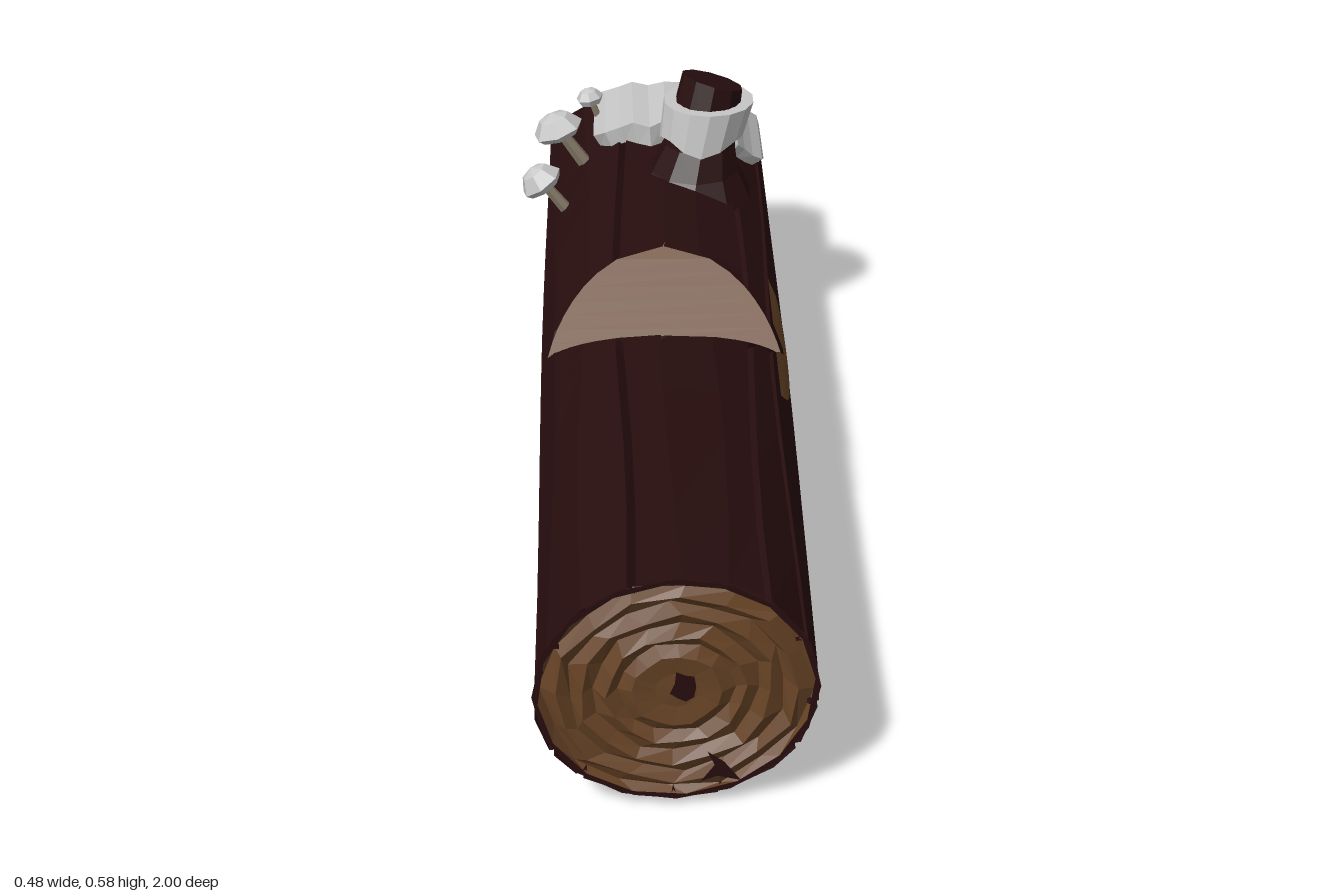
import * as THREE from 'three';

const mat = (name, color) =>
  new THREE.MeshStandardMaterial({ name, color, side: THREE.DoubleSide });

// Faceted surface through rows of [x, y, z] points
function loft(rows) {
  const pos = [];
  for (let i = 0; i < rows.length - 1; i++) {
    for (let j = 0; j < rows[i].length - 1; j++) {
      const a = rows[i][j], b = rows[i + 1][j], c = rows[i + 1][j + 1], d = rows[i][j + 1];
      pos.push(...a, ...b, ...c, ...a, ...c, ...d);
    }
  }
  const g = new THREE.BufferGeometry();
  g.setAttribute('position', new THREE.Float32BufferAttribute(pos, 3));
  g.computeVertexNormals();
  return g;
}

// Faceted copy with every vertex moved by a rule
function warp(geo, rule) {
  const g = geo.index ? geo.toNonIndexed() : geo;
  const p = g.attributes.position;
  for (let i = 0; i < p.count; i++) p.setXYZ(i, ...rule(p.getX(i), p.getY(i), p.getZ(i)));
  g.computeVertexNormals();
  return g;
}
const lathe = (pts, sides, rule) =>
  warp(new THREE.LatheGeometry(pts.map(p => new THREE.Vector2(...p)), sides), rule);

// Log cross-section, slightly thicker toward the back
function section(z) {
  const t = (1 - z) / 1.8;
  return { cx: 0.01 + 0.005 * t, rx: 0.208 + 0.014 * t, cy: 0.208 - 0.007 * t, ry: 0.194 + 0.008 * t };
}
const notchY = z => 0.27 + 0.82 * Math.abs(z - 0.12);
const frontZ = x => 1 - 0.02 * (x + 0.2) / 0.42;
const backZ = (x, y) =>
  -0.95 + 0.04 * (x + 0.21) / 0.45 + (y > 0.2 ? 1.05 : 0.75) * Math.abs(y - 0.2);

// Angles round the bark; some sectors carry a groove
const SECTORS = 18, around = [];
for (let k = 0; k <= SECTORS; k++) {
  const a = Math.PI / 2 - k / SECTORS * Math.PI * 2, id = k % SECTORS;
  if (id && id % 3 !== 1) around.push([a + 0.035, 0, id], [a, 0.05 + 0.03 * (id % 2), id], [a - 0.03, 0, id]);
  else around.push([a, 0, id]);
}
function barkRing(z, cut, place) {
  const { cx, rx, cy, ry } = section(z);
  const h = notchY(z);
  const c = Math.asin(Math.min(1, (h - cy) / ry));
  return around.map(([base, depth, id]) => {
    let a = base + 0.05 * Math.sin(id * 2.3 + z * 4);
    let f = 1 - depth + 0.012 * Math.sin(id * 5.1 + z * 3);
    const clipped = cut && (a > c || a < -Math.PI - c);
    if (clipped) { a = a > c ? c : -Math.PI - c; f = 1; }
    const x = cx + rx * f * Math.cos(a);
    const y = clipped ? Math.min(h, cy + ry) : Math.max(0, cy + ry * f * Math.sin(a));
    return [x, y, place ? place(x, y) : z];
  });
}

// Irregular thin patch laid on a surface z = place(x, y)
function blob(cx, cy, rx, ry, place) {
  const edge = [], mid = [];
  for (let i = 0; i <= 9; i++) {
    const a = i / 9 * Math.PI * 2, f = 0.85 + 0.2 * Math.sin((i % 9) * 2.7);
    const x = cx + rx * f * Math.cos(a), y = cy + ry * f * Math.sin(a);
    edge.push([x, y, place(x, y)]);
    mid.push([cx, cy, place(cx, cy)]);
  }
  return loft([edge, mid]);
}

export function createModel() {
  const model = new THREE.Group();
  model.name = 'fallenLog';
  const bark = mat('bark', 0x270d0e), wood = mat('wood', 0x684426);
  const snow = mat('snow', 0xc6c6c6), stemMat = mat('mushroomStem', 0x857a68);
  const add = (name, geo, m, parent = model) => {
    const mesh = new THREE.Mesh(geo, m);
    mesh.name = name;
    parent.add(mesh);
    return mesh;
  };

  // Bark, with the V notch cut from its top and a wedge-shaped back end
  const notchZ = Array.from({ length: 17 }, (_, i) => 0.284 - i * 0.0205);
  const rows = [barkRing(1, false, frontZ)];
  for (const z of [0.8, 0.6, 0.45, 0.3]) rows.push(barkRing(z));
  for (const z of notchZ) rows.push(barkRing(z, true));
  for (const z of [-0.06, -0.2, -0.35, -0.5, -0.62, -0.69]) rows.push(barkRing(z));
  const end = barkRing(-0.8, false, backZ);
  rows.push(end);
  add('barkTrunk', loft(rows), bark);

  // Cut faces of the notch and of the back wedge
  add('notchFaces', loft(notchZ.map(z => {
    const { cx, rx, cy, ry } = section(z), s = Math.min(1, (notchY(z) - cy) / ry);
    const w = rx * Math.sqrt(1 - s * s), y = Math.min(notchY(z), cy + ry);
    return [[cx - w, y, z], [cx + w, y, z]];
  })), wood);
  add('backWedge', loft([end, end.map(([x]) => [x, 0.2, backZ(x, 0.2)])]), wood);

  // Bare wood strip on the left flank, under the notch
  const strip = [];
  for (let i = 0; i <= 20; i++) {
    const z = 0.32 - i * 0.021, u = (z - 0.11) / 0.21;
    const top = Math.min(0.307, notchY(z)), low = Math.min(top, 0.307 - 0.05 * Math.sqrt(Math.max(0, 1 - u * u)));
    const { cx, rx, cy, ry } = section(z);
    strip.push([0, 0.5, 1].map(t => {
      const y = low + (top - low) * t, s = (y - cy) / ry;
      return [cx + rx * 1.015 * Math.sqrt(1 - s * s) + 0.003, y, z];
    }));
  }
  add('bareStrip', loft(strip), wood);

  // Front end: growth rings in shallow relief
  const { cx, rx, cy, ry } = section(1);
  const ringRows = [[1, 0], [0.96, 0], [0.93, -0.012], [0.84, 0], [0.76, -0.012], [0.67, 0],
    [0.58, -0.012], [0.48, 0], [0.4, -0.012], [0.31, 0], [0.15, -0.004], [0, -0.002]].map(([f, dz], k) => {
    const row = [];
    for (let i = 0; i <= 16; i++) {
      const a = (i % 16 + 0.2 * Math.sin(k * 2)) / 16 * Math.PI * 2;
      const r = f * (1 + (k > 1 ? 0.035 * Math.sin((i % 16) * 2.4 + k) : 0));
      const x = cx + rx * r * Math.cos(a), y = cy + ry * r * Math.sin(a);
      row.push([x, y, frontZ(x) + dz]);
    }
    return row;
  });
  add('barkRim', loft(ringRows.slice(0, 2)), bark);
  add('growthRings', loft(ringRows.slice(1)), wood);
  const onFront = x => frontZ(x) + 0.002;
  add('pith', blob(0.02, 0.217, 0.021, 0.03, onFront), bark);
  const crack = [[0.055, 0.1], [0.066, 0.075], [0.045, 0.045], [0.07, 0.055], [0.105, 0.045], [0.08, 0.08]];
  add('crack', warp(new THREE.ShapeGeometry(new THREE.Shape(crack.map(p => new THREE.Vector2(...p)))),
    (x, y) => [x, y, onFront(x)]), bark);

  // Rotten spots and splinters on the back end
  const onBack = (x, y) => backZ(x, y) - 0.005;
  for (const [x, y, w, h] of [[0.08, 0.295, 0.042, 0.03], [-0.02, 0.222, 0.085, 0.014],
    [0.08, 0.1, 0.04, 0.035], [-0.08, 0.165, 0.045, 0.022]]) add('rottenSpot', blob(x, y, w, h, onBack), bark);
  for (const [x, y, tip, m] of [[-0.09, 0.205, -0.97, wood], [0, 0.195, -1, wood], [0.08, 0.205, -0.965, bark],
    [-0.05, 0.21, -0.96, bark], [0.035, 0.2, -0.96, wood]]) {
    const len = -0.89 - tip;
    const s = add('splinter', warp(new THREE.ConeGeometry(0.02, len, 4), (a, b, c) => [a, b, c]), m);
    s.rotation.x = -Math.PI / 2;
    s.position.set(x, y, tip + len / 2);
  }

  // Snow blanket over the back of the log, ragged at its edges
  const U = 14, V = 8, blanket = [];
  for (let i = -1; i <= U + 1; i++) {
    const u = Math.min(U, Math.max(0, i)) / U, a = 2.12 - u * 1.68;
    const row = [];
    for (let j = -1; j <= V + 1; j++) {
      const v = Math.min(V, Math.max(0, j)) / V;
      const rim = i < 0 || i > U || j < 0 || j > V;
      const lift = rim ? -0.006 : 0.02 + 0.022 * Math.sin(Math.PI * Math.min(1, u * 1.2)) + 0.005 * Math.sin(i * 2.6);
      const s = section(-0.65);
      const x = s.cx + (s.rx + lift) * Math.cos(a), y = s.cy + (s.ry + lift) * Math.sin(a);
      const front = -0.47 - 0.08 * Math.pow(1 - u, 4) - 0.17 * Math.pow(u, 4) + 0.012 * Math.sin(i * 2.1);
      const back = backZ(x, y) - 0.015 + 0.008 * Math.sin(i * 1.9);
      row.push([x, y, front + (back - front) * v]);
    }
    blanket.push(row);
  }
  add('snowBlanket', loft(blanket), snow);

  // Branch stub with a snow collar
  const lean = (x, y, z) => [x + 0.09 + (y - 0.45) * 0.2, y, z - 0.392 - (y - 0.45) * 0.15];
  add('branchStub', lathe([[0.12, 0.35], [0.085, 0.4], [0.068, 0.45], [0.06, 0.565], [0, 0.565]], 10,
    (x, y, z) => lean(x, y > 0.56 ? y - 0.25 * x + 0.15 * z : y, z)), bark);
  add('snowCollar', lathe([[0.06, 0.46], [0.078, 0.458], [0.085, 0.53], [0.062, 0.53], [0.06, 0.46]], 14,
    (x, y, z) => lean(x, y < 0.5 ? y + 0.012 * Math.sin(Math.atan2(z, x) * 3) : y, z)), snow);

  // Mushrooms on the right flank: cap position, radius, height, tilt, stem foot
  const up = new THREE.Vector3(0, 1, 0);
  for (const [x, y, z, r, h, tilt, fx, fy] of [[-0.178, 0.415, -0.52, 0.05, 0.04, 0.35, -0.13, 0.35],
    [-0.208, 0.362, -0.395, 0.043, 0.04, 0.6, -0.165, 0.31], [-0.118, 0.43, -0.64, 0.027, 0.024, 0.2, -0.1, 0.385]]) {
    const mushroom = new THREE.Group();
    mushroom.name = 'mushroom';
    const cap = add('cap', lathe([[0, 0], [r * 0.8, -0.008], [r, 0.004], [r * 0.6, h * 0.75], [0, h]], 7,
      (a, b, c) => [a, b, c]), snow, mushroom);
    cap.position.set(x, y, z);
    cap.rotation.z = tilt;
    const top = new THREE.Vector3(x, y + 0.004, z), foot = new THREE.Vector3(fx, fy, z);
    const dir = top.clone().sub(foot);
    const stem = add('stem', warp(new THREE.CylinderGeometry(r * 0.22, r * 0.28, dir.length(), 6),
      (a, b, c) => [a, b, c]), stemMat, mushroom);
    stem.position.copy(top).add(foot).multiplyScalar(0.5);
    stem.quaternion.setFromUnitVectors(up, dir.normalize());
    model.add(mushroom);
  }
  return model;
}
